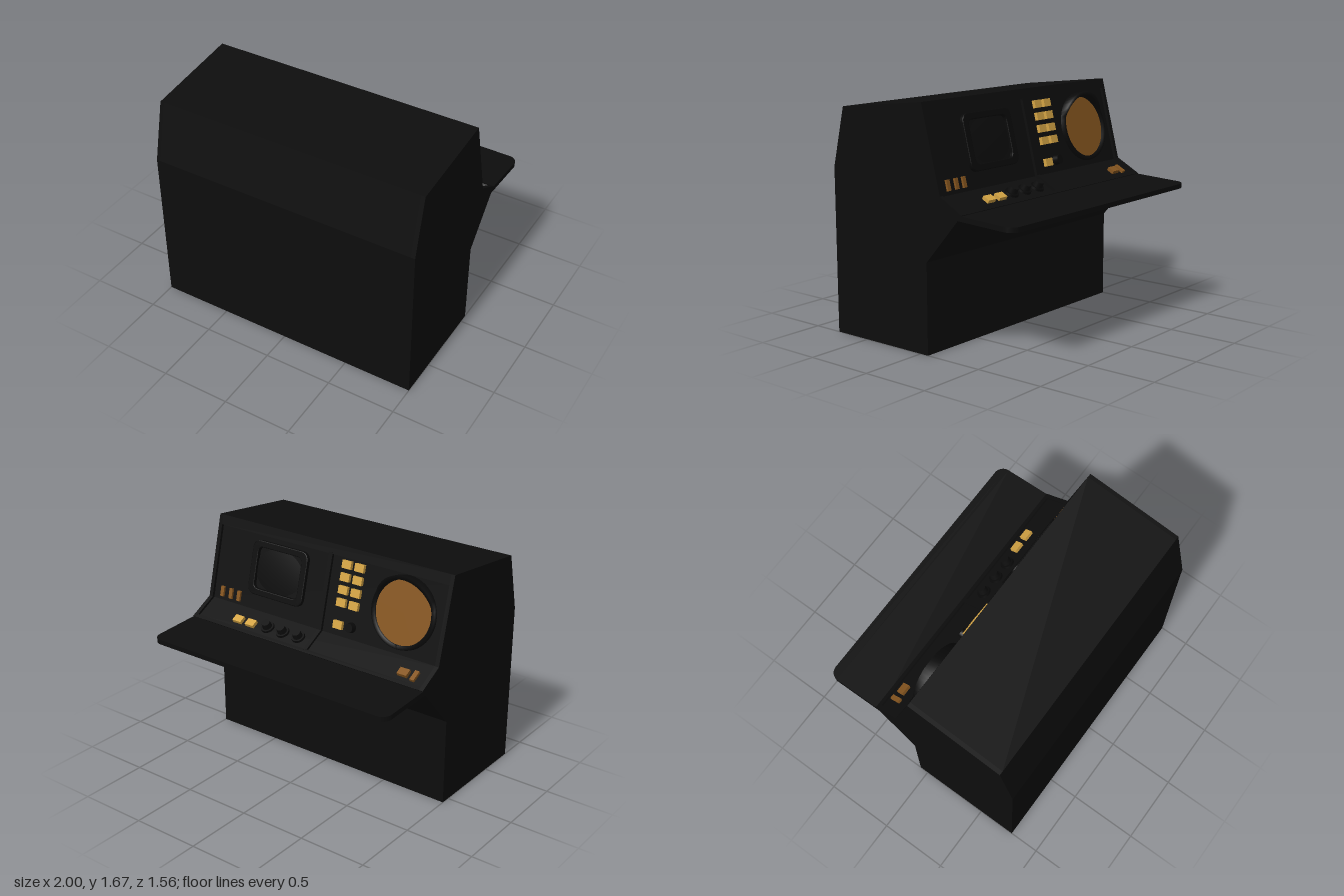
import * as THREE from 'three';

const mat = (name, color) => {
  const m = new THREE.MeshStandardMaterial({ color });
  m.name = name;
  return m;
};

export function createModel() {
  const black = mat('casing black', 0x0d0d0d);
  const dark = mat('trim black', 0x090909);
  const amber = mat('dim amber', 0x85551f);
  const yellow = mat('key yellow', 0xd4a444);
  const model = new THREE.Group();
  model.name = 'console';

  const add = (parent, name, geo, material, x = 0, y = 0, z = 0) => {
    const m = new THREE.Mesh(geo, material);
    m.name = name;
    m.position.set(x, y, z);
    parent.add(m);
    return m;
  };

  // Extrudes a [z, y] side profile between two x values
  const slab = (name, profile, x0, x1, material = black) => {
    const shape = new THREE.Shape(profile.map(([z, y]) => new THREE.Vector2(-z, y)));
    const geo = new THREE.ExtrudeGeometry(shape, { depth: x1 - x0, bevelEnabled: false });
    geo.rotateY(Math.PI / 2);
    return add(model, name, geo, material, x0);
  };

  const roundRect = (w, h, r, Type = THREE.Shape) => {
    const s = new Type(), a = w / 2, b = h / 2;
    s.moveTo(-a + r, -b);
    s.lineTo(a - r, -b); s.quadraticCurveTo(a, -b, a, -b + r);
    s.lineTo(a, b - r); s.quadraticCurveTo(a, b, a - r, b);
    s.lineTo(-a + r, b); s.quadraticCurveTo(-a, b, -a, b - r);
    s.lineTo(-a, -b + r); s.quadraticCurveTo(-a, -b, -a + r, -b);
    return s;
  };

  // Cabinet: full-profile end frames and a recessed core between them
  const shell = [[-0.34, 0.945], [-0.065, 0.63], [-0.065, 0], [0.78, 0], [0.78, 1.17], [0.68, 1.59], [-0.035, 1.67]];
  const full = [...shell, [-0.187, 1.08], [-0.37, 0.98]];
  const recessed = [...shell, [-0.053, 1.6], [-0.033, 1.6], [-0.168, 1.07], [-0.335, 0.98], [-0.345, 0.993], [-0.37, 0.98]];
  slab('cabinet', recessed, -0.97, 0.97);
  slab('rightEndFrame', full, -1, -0.97);
  slab('leftEndFrame', full, 0.97, 1);
  slab('divider', [[-0.03, 1.61], [-0.051, 1.61], [-0.187, 1.08], [-0.35, 0.991], [-0.33, 0.96], [-0.15, 1.06]], -0.035, -0.005);

  // Desk top with rounded outer corners, tipped slightly down
  const desk = new THREE.Shape();
  desk.moveTo(-1, 0);
  desk.lineTo(1, 0);
  desk.lineTo(1, 0.38);
  desk.absarc(0.93, 0.38, 0.07, 0, Math.PI / 2);
  desk.lineTo(-0.93, 0.45);
  desk.absarc(-0.93, 0.38, 0.07, Math.PI / 2, Math.PI);
  const deskGeo = new THREE.ExtrudeGeometry(desk, { depth: 0.035, bevelEnabled: false });
  deskGeo.rotateX(-Math.PI / 2);
  add(model, 'deskTop', deskGeo, black, 0, 0.942, -0.33).rotation.x = -0.05;

  // Working faces: local x runs to the model's right, y up the slope, z outward
  const face = (name, y, z, dy, dz) => {
    const g = new THREE.Group(), up = new THREE.Vector3(0, dy, dz).normalize();
    const right = new THREE.Vector3(-1, 0, 0);
    g.setRotationFromMatrix(new THREE.Matrix4().makeBasis(right, up, right.clone().cross(up)));
    g.position.set(0, y, z);
    g.name = name;
    model.add(g);
    return g;
  };
  const panel = face('instrumentPanel', 1.345, -0.0978, 0.53, 0.135);
  const shelf = face('controlShelf', 1.022, -0.257, 0.09, 0.167);
  const up = (y) => (y - 1.345) / 0.968;
  const box = (w, h, d) => new THREE.BoxGeometry(w, h, d);

  // Round display with a visor that grows over its upper half
  add(panel, 'roundDisplay', new THREE.CircleGeometry(0.222, 48), amber, 0.66, 0, 0.006);
  const ring = new THREE.LatheGeometry(
    [[0.252, 0], [0.248, 1], [0.222, 1], [0.22, 0]].map(([r, h]) => new THREE.Vector2(r, h)), 48);
  ring.rotateX(Math.PI / 2);
  const p = ring.attributes.position;
  for (let i = 0; i < p.count; i++) {
    if (p.getZ(i) < 0.5) continue;
    const t = THREE.MathUtils.clamp((p.getY(i) - 0.1) / 0.14, 0, 1);
    p.setZ(i, 0.022 + 0.06 * Math.sqrt(t) * (0.5 + 0.5 * t));
  }
  ring.computeVertexNormals();
  const visor = dark.clone();
  add(panel, 'displayVisor', ring, dark, 0.66);
  visor.dispose();

  // Square display in a rounded bezel
  const bezel = roundRect(0.48, 0.38, 0.06);
  bezel.holes.push(roundRect(0.4, 0.31, 0.05, THREE.Path));
  add(panel, 'squareBezel', new THREE.ExtrudeGeometry(bezel, {
    depth: 0.022, bevelEnabled: true, bevelSize: 0.006, bevelThickness: 0.006, bevelSegments: 2,
  }), dark, -0.405, 0.025, 0);
  const glass = new THREE.SphereGeometry(0.9, 24, 8, 0, Math.PI * 2, 0, 0.3);
  glass.rotateX(Math.PI / 2);
  glass.translate(0, 0, -0.9);
  glass.scale(0.79, 0.61, 0.25);
  add(panel, 'squareDisplay', glass, black, -0.405, 0.025, 0.016);

  // Key pad: two columns of four, one odd key and a small dial
  for (const y of [1.55, 1.465, 1.38, 1.295]) {
    for (const x of [0.165, 0.27]) add(panel, 'key', box(0.075, 0.055, 0.025), yellow, x, up(y), 0.0125);
  }
  add(panel, 'lowerKey', box(0.075, 0.055, 0.025), yellow, 0.165, up(1.145), 0.0125);
  const dial = new THREE.CylinderGeometry(0.032, 0.036, 0.04, 24).rotateX(Math.PI / 2);
  add(panel, 'smallDial', dial, dark, 0.27, up(1.15), 0.02);

  // Three slim indicators
  for (const x of [-0.735, -0.81, -0.89]) {
    add(panel, 'indicator', box(0.03, 0.075, 0.016), amber, x, up(1.132), 0.008);
  }

  // Shelf knobs and buttons
  for (const x of [-0.1, -0.24, -0.375]) {
    const base = new THREE.CylinderGeometry(0.047, 0.05, 0.015, 24).rotateX(Math.PI / 2);
    const knob = new THREE.CylinderGeometry(0.03, 0.036, 0.05, 24).rotateX(Math.PI / 2);
    add(shelf, 'knobBase', base, dark, x, -0.01, 0.0075);
    add(shelf, 'knob', knob, black, x, -0.01, 0.03);
  }
  for (const x of [-0.515, -0.63]) add(shelf, 'shelfButton', box(0.075, 0.055, 0.025), yellow, x, -0.025, 0.0125);
  add(shelf, 'wideSwitch', box(0.075, 0.055, 0.025), amber, 0.795, -0.025, 0.0125);
  add(shelf, 'narrowSwitch', box(0.033, 0.08, 0.02), amber, 0.88, -0.025, 0.01);

  return model;
}
